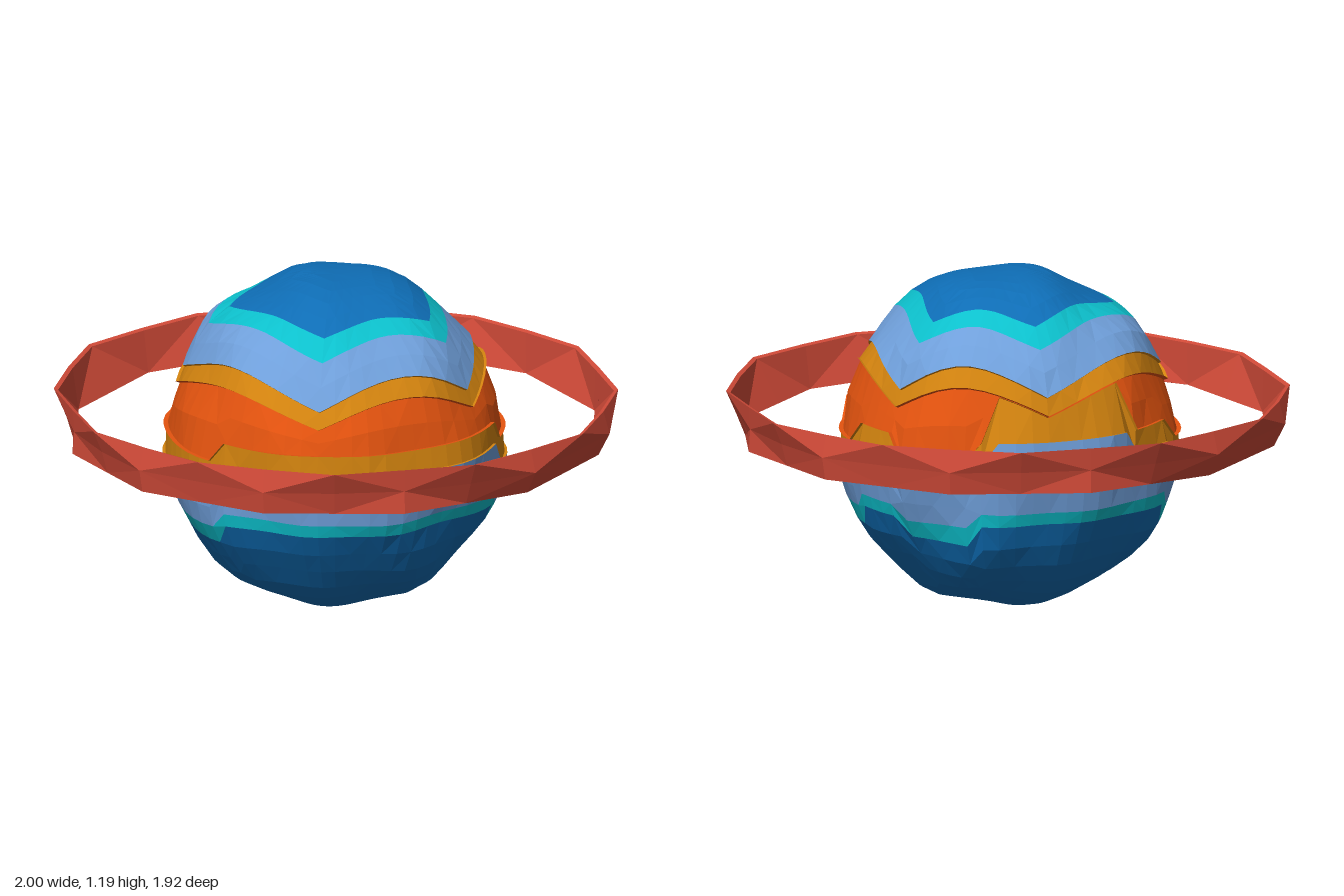
import * as THREE from 'three';

const RAD = Math.PI / 180;
const CY = 0.615;   // height of the planet's centre
const R = 0.596;

// Skin a grid of rings (top to bottom, outward facing) with flat facets.
function skin(name, color, rows, cols, point) {
  const pos = [], idx = [];
  for (let r = 0; r < rows; r++)
    for (let c = 0; c < cols; c++) pos.push(...point(r, c));
  for (let r = 0; r < rows - 1; r++)
    for (let c = 0; c < cols; c++) {
      const n = (c + 1) % cols;
      const a = r * cols + c, b = r * cols + n, d = a + cols, e = b + cols;
      if ((r + c) % 2) idx.push(a, b, d, b, e, d);
      else idx.push(a, b, e, a, e, d);
    }
  const geo = new THREE.BufferGeometry();
  geo.setAttribute('position', new THREE.Float32BufferAttribute(pos, 3));
  geo.setIndex(idx);
  const flat = geo.toNonIndexed();
  flat.computeVertexNormals();
  const mesh = new THREE.Mesh(flat, new THREE.MeshStandardMaterial({ color, flatShading: true }));
  mesh.name = name;
  return mesh;
}

// Lumpy planet surface at a given longitude and polar angle
function surface(t, phi, sink) {
  const x = Math.sin(phi) * Math.cos(t), y = Math.cos(phi), z = Math.sin(phi) * Math.sin(t);
  const bump = Math.sin(5 * x + 2 * y + 1) * Math.sin(4 * z - 3 * y) * 0.009
    + Math.sin(9 * x - 7 * z + 4 * y) * 0.007 + Math.sin(11 * y + 6 * z) * 0.005;
  const r = R + bump - sink;
  return [r * x, CY + r * y, r * z];
}

// Pentagonal waviness: 0 at the corners, 1 halfway between them (degrees)
const corners = [-132, -72, 0, 66, 150, 228];
function penta(deg) {
  const d = deg < -132 ? deg + 360 : deg;
  for (let i = 0; i < 5; i++)
    if (d <= corners[i + 1])
      return Math.sin(Math.PI * (d - corners[i]) / (corners[i + 1] - corners[i]));
  return 0;
}

// Stepped notches where the lower bands drop (degrees)
const notch = (d) => [[-48, -18], [-102, -78], [108, 168]].some(([a, b]) => d >= a && d <= b) ? 1 : 0;
// Stretch where the orange band pinches out
const gap = (d) => d <= -110 && d >= -162;

// Band edge heights from the top down
const edges = [
  () => CY + 0.6,
  (d) => 1.085 + 0.045 * penta(d),
  (d) => 1.02 + 0.065 * penta(d),
  (d) => 0.87 + 0.095 * penta(d),
  (d) => 0.81 + 0.09 * penta(d),
  (d) => gap(d) ? 0.81 + 0.09 * penta(d) - 0.005 : 0.72 - 0.075 * notch(d),
  (d) => gap(d) ? 0.72 : 0.64 - 0.09 * notch(d),
  (d) => 0.46 - 0.055 * notch(d),
  (d) => 0.415 - 0.075 * notch(d),
  () => CY - 0.6,
];

const BLUE = 0x0e6db5, CYAN = 0x0cc0cc, SKY = 0x6f9fda, AMBER = 0xd4840f, ORANGE = 0xe6540f;
// name, colour, facet rows, groove depth
const bands = [
  ['northCap', BLUE, 5, 0], ['northCyanBand', CYAN, 1, 0], ['northSkyBand', SKY, 2, 0],
  ['upperAmberBand', AMBER, 1, 0.01], ['orangeBand', ORANGE, 2, 0.016],
  ['lowerAmberBand', AMBER, 1, 0.01], ['southSkyBand', SKY, 2, 0],
  ['southCyanBand', CYAN, 1, 0], ['southCap', BLUE, 8, 0],
];

function makePlanet() {
  const planet = new THREE.Group();
  planet.name = 'planet';
  const cols = 60;
  const polar = (y) => Math.acos(THREE.MathUtils.clamp((y - CY) / 0.6, -1, 1));
  bands.forEach(([name, color, steps, sink], k) => {
    // a sunken band gets an extra row at each edge for the groove wall
    const rows = [];
    if (sink) rows.push([0, 0]);
    for (let i = 0; i <= steps; i++) rows.push([i / steps, sink]);
    if (sink) rows.push([1, 0]);
    planet.add(skin(name, color, rows.length, cols, (r, c) => {
      const deg = c * 360 / cols - 180;
      const a = polar(edges[k](deg)), b = polar(edges[k + 1](deg));
      const [f, s] = rows[r];
      return surface(deg * RAD, a + (b - a) * f, s);
    }));
  });
  return planet;
}

// Thin faceted ring, leaning outward towards the top
function makeRing() {
  const top = [1.0, 0.968, 0.985, 0.95, 0.975, 0.945, 0.96];    // every 15 degrees of a quadrant
  const mid = [0.955, 0.99, 0.95, 0.945, 0.94, 0.965, 0.935];
  const quad = (list, c) => list[c % 12 <= 6 ? c % 12 : 12 - c % 12];
  const low = (c) => c % 2 ? 0.95 : 0.918;
  const section = [
    (c) => [quad(top, c), 0.78],
    (c) => [quad(mid, c), 0.7],
    (c) => [low(c), 0.62],
    (c) => [low(c) - 0.018, 0.625],
    (c) => [quad(top, c) - 0.015, 0.775],
    (c) => [quad(top, c), 0.78],
  ];
  return skin('ring', 0xd04a38, section.length, 24, (r, c) => {
    const [rad, y] = section[r](c), t = c * 15 * RAD;
    return [rad * Math.cos(t), y, rad * Math.sin(t)];
  });
}

export function createModel() {
  const model = new THREE.Group();
  model.name = 'ringedPlanet';
  model.add(makePlanet(), makeRing());
  return model;
}
